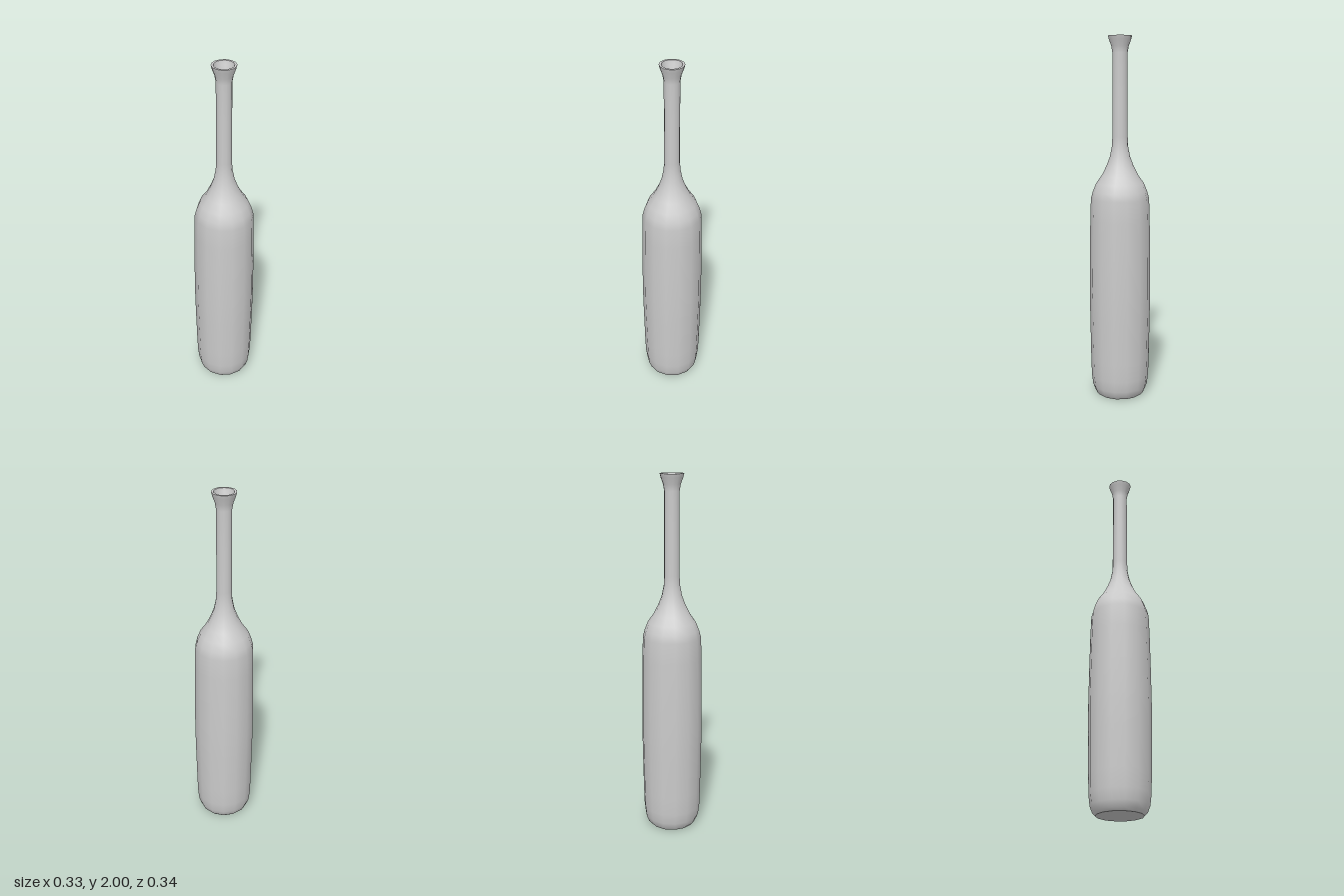
import * as THREE from 'three';

const SIDES = 14;
const WALL = 0.012;

export function createModel() {
  const bottle = new THREE.Group();
  bottle.name = 'bottle';
  const material = new THREE.MeshStandardMaterial({ color: 0xcccccc });

  // Each section is a separate lathe so the edges between them stay sharp
  function addSection(name, profile) {
    const points = profile.map(([r, y]) => new THREE.Vector2(r, y));
    const mesh = new THREE.Mesh(new THREE.LatheGeometry(points, SIDES), material);
    mesh.name = name;
    bottle.add(mesh);
  }

  // Outer silhouette from base to lip: [radius, height]
  const outer = [
    [0.126, 0], [0.141, 0.016], [0.154, 0.05], [0.161, 0.11], [0.164, 0.21],
    [0.168, 0.44], [0.17, 0.6], [0.168, 0.8], [0.165, 1.0], [0.161, 1.12],
    [0.15, 1.16], [0.132, 1.205], [0.1, 1.25], [0.075, 1.3], [0.056, 1.35],
    [0.044, 1.41], [0.042, 1.46], [0.041, 1.7], [0.041, 1.91],
    [0.047, 1.945], [0.06, 1.98], [0.065, 2.0],
  ];
  // Cavity follows the silhouette, from lip down to the inner floor
  const inner = outer.map(([r, y]) => [r - WALL, Math.max(y, WALL)]).reverse();

  addSection('base', [[0, 0], outer[0]]);
  addSection('outerWall', outer);
  addSection('rim', [outer[outer.length - 1], inner[0]]);
  addSection('innerWall', inner);
  addSection('innerFloor', [inner[inner.length - 1], [0, WALL]]);

  return bottle;
}
